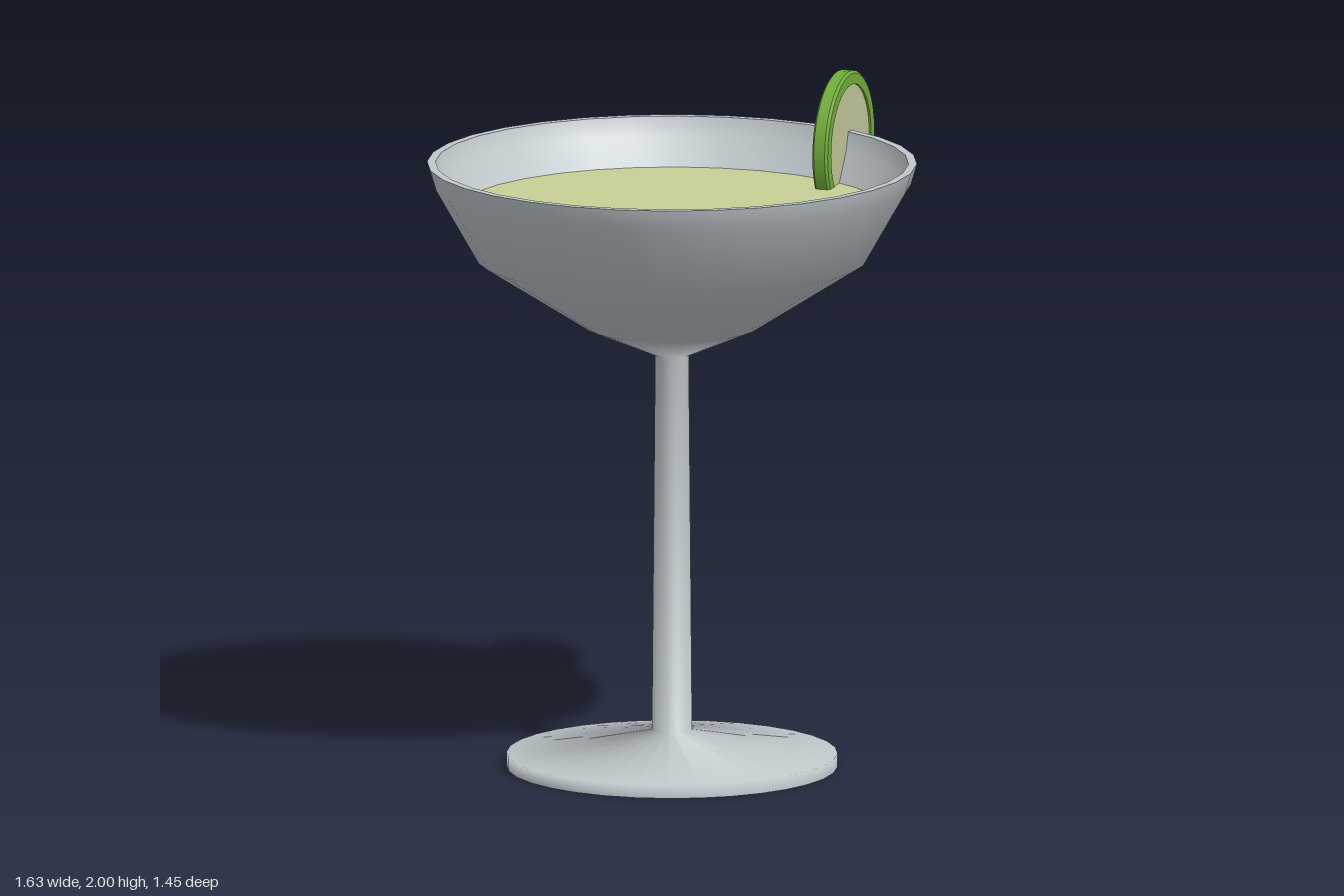
import * as THREE from 'three';

const SIDES = 32;
const mat = (name, color) => new THREE.MeshStandardMaterial({ name, color });
const pts = (list) => list.map(([r, y]) => new THREE.Vector2(r, y));

function add(parent, name, geometry, material) {
  const mesh = new THREE.Mesh(geometry, material);
  mesh.name = name;
  parent.add(mesh);
  return mesh;
}

const lathe = (list, sides = SIDES) => new THREE.LatheGeometry(pts(list), sides);

export function createModel() {
  const glassMat = mat('glass grey', 0xc0c8cc);
  const drinkMat = mat('drink pale green', 0xc6d094);
  const rindMat = mat('rind green', 0x70ac38);
  const fleshMat = mat('lime flesh', 0xc0c598);

  const model = new THREE.Group();
  model.name = 'cocktailGlass';

  // Glass: smooth foot, stem and bowl, standing off-centre to leave room for the lime
  const glass = new THREE.Group();
  glass.name = 'glass';
  glass.position.x = -0.09;
  model.add(glass);

  add(glass, 'footStemAndBowl', lathe([
    [0.49, 0], [0.49, 0.04], [0.06, 0.11], [0.05, 1.24],
    [0.26, 1.33], [0.58, 1.535], [0.708, 1.76], [0.725, 1.82],
  ]), glassMat);
  add(glass, 'footUnderside', new THREE.CircleGeometry(0.49, SIDES).rotateX(Math.PI / 2), glassMat);
  add(glass, 'rim', lathe([[0.725, 1.82], [0.7, 1.82]]), glassMat);
  add(glass, 'bowlInside', lathe([
    [0.7, 1.82], [0.684, 1.765], [0.552, 1.55], [0.25, 1.36], [0, 1.28],
  ]), glassMat);

  // Drink surface
  const drink = add(glass, 'drink', new THREE.CircleGeometry(0.634, SIDES).rotateX(-Math.PI / 2), drinkMat);
  drink.position.y = 1.68;

  // Lime wheel pushed over the rim, turned about the vertical
  const lime = new THREE.Group();
  lime.name = 'limeWheel';
  lime.position.set(0.608, 1.78, 0);
  lime.rotation.y = 0.48;
  model.add(lime);

  // Rind: separate flat bands keep the edges crisp
  const ring = [[0.18, -0.024], [0.212, -0.024], [0.22, -0.017], [0.22, 0.017],
    [0.212, 0.024], [0.18, 0.024], [0.18, -0.024]];
  for (let i = 0; i < ring.length - 1; i++) {
    add(lime, 'rind', lathe([ring[i], ring[i + 1]], 40).rotateX(Math.PI / 2), rindMat);
  }
  add(lime, 'flesh', new THREE.CylinderGeometry(0.181, 0.181, 0.036, 40).rotateX(Math.PI / 2), fleshMat);

  return model;
}
